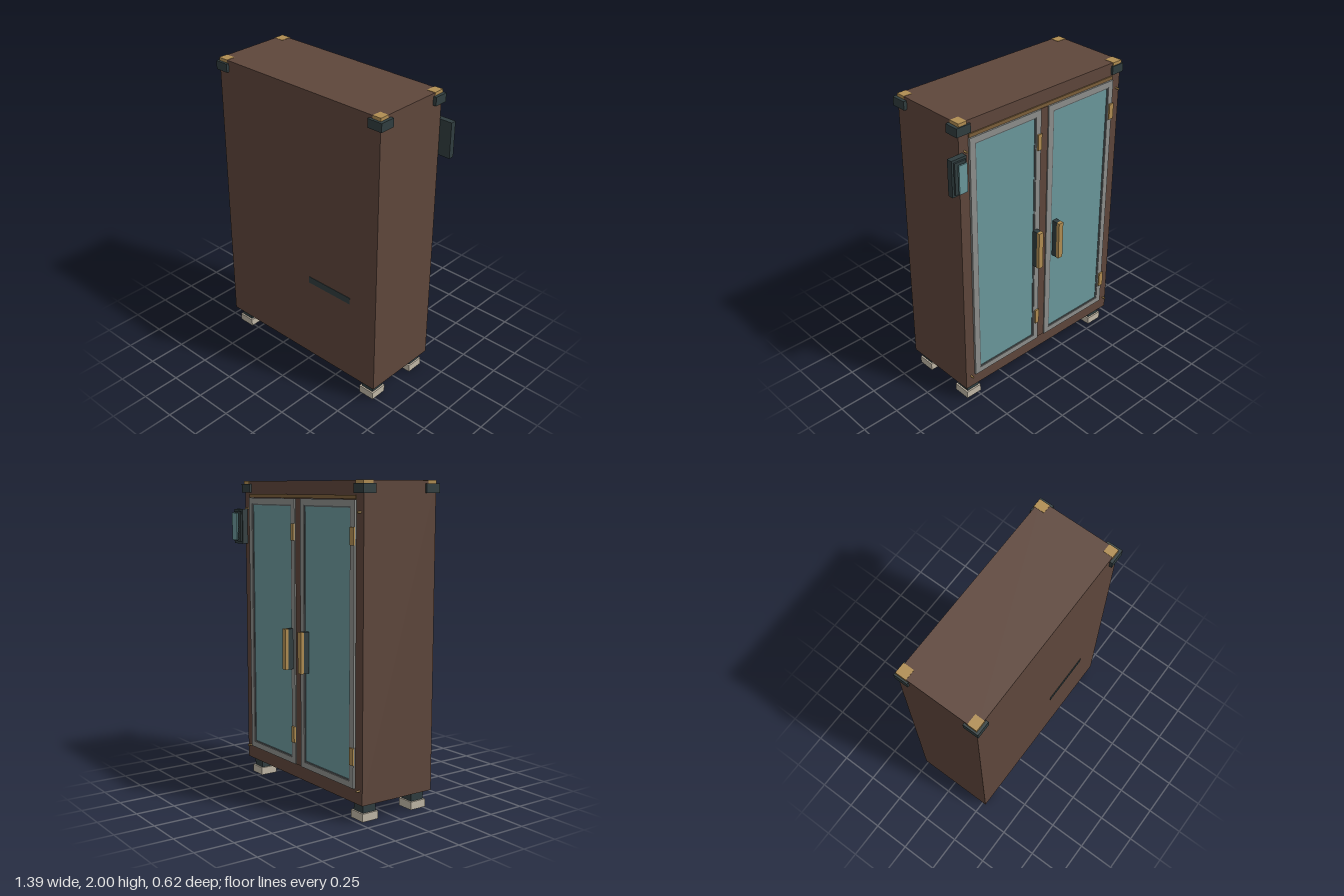
import * as THREE from 'three';

export function createModel() {
  const model = new THREE.Group();
  model.name = 'cabinet';

  const mat = (name, color) => {
    const m = new THREE.MeshStandardMaterial({ color });
    m.name = name;
    return m;
  };
  const wood = mat('brown wood', 0x5e463b);
  const dark = mat('dark iron', 0x303d3f);
  const brass = mat('brass', 0xb08d52);
  const glass = mat('teal glass', 0x6a979b);
  const steel = mat('grey steel', 0x8c8e8b);
  const slate = mat('slate', 0x5a6061);
  const stone = mat('pale stone', 0xc0b7a6);
  const bronze = mat('bronze trim', 0x7c5f3a);

  // Box given by its limits along each axis
  const box = (name, material, [x0, x1], [y0, y1], [z0, z1], parent = model) => {
    const mesh = new THREE.Mesh(new THREE.BoxGeometry(x1 - x0, y1 - y0, z1 - z0), material);
    mesh.position.set((x0 + x1) / 2, (y0 + y1) / 2, (z0 + z1) / 2);
    mesh.name = name;
    parent.add(mesh);
    return mesh;
  };
  const group = (name) => {
    const g = new THREE.Group();
    g.name = name;
    model.add(g);
    return g;
  };

  // Carcass, base plate and front slot
  box('body', wood, [-0.685, 0.614], [0.11, 1.998], [-0.243, 0.29]);
  box('basePlate', slate, [-0.65, 0.58], [0.095, 0.112], [-0.217, 0.264]);
  box('frontSlot', dark, [0.058, 0.405], [0.675, 0.72], [0.288, 0.293]);

  // Feet: iron leg on a stone pad
  for (const x of [-0.604, 0.534]) {
    for (const z of [0.21, -0.162]) {
      const foot = group('foot');
      box('footLeg', dark, [x - 0.046, x + 0.046], [0.05, 0.1], [z - 0.047, z + 0.047], foot);
      box('footPad', stone, [x - 0.057, x + 0.057], [0, 0.05], [z - 0.058, z + 0.058], foot);
    }
  }

  // Top corners: iron guard with a brass cap
  for (const [gx, bx] of [[[-0.698, -0.605], [-0.687, -0.617]], [[0.535, 0.636], [0.557, 0.616]]]) {
    for (const [gz, bz] of [[[0.207, 0.308], [0.23, 0.292]], [[-0.257, -0.165], [-0.25, -0.178]]]) {
      const corner = group('topCorner');
      box('cornerGuard', dark, gx, [1.925, 1.98], gz, corner);
      box('cornerCap', brass, bx, [1.98, 2], bz, corner);
    }
  }

  // Glazed doors on the back
  const rect = (P, x0, x1, y0, y1) => {
    const p = new P();
    p.moveTo(x0, y0);
    p.lineTo(x1, y0);
    p.lineTo(x1, y1);
    p.lineTo(x0, y1);
    p.closePath();
    return p;
  };
  const frame = (name, material, x0, x1, y0, y1, w, z0, depth, parent) => {
    const shape = rect(THREE.Shape, x0, x1, y0, y1);
    shape.holes.push(rect(THREE.Path, x0 + w, x1 - w, y0 + w, y1 - w));
    const mesh = new THREE.Mesh(
      new THREE.ExtrudeGeometry(shape, { depth, bevelEnabled: false }), material);
    mesh.position.z = z0;
    mesh.name = name;
    parent.add(mesh);
  };
  const doors = [
    { x: [0, 0.545], hinge: [0, 0.03], handle: [0.02, 0.055] },
    { x: [-0.615, -0.062], hinge: [-0.62, -0.585], handle: [-0.154, -0.118] },
  ];
  for (const d of doors) {
    const [x0, x1] = d.x;
    const door = group('door');
    frame('doorFrame', steel, x0, x1, 0.2, 1.89, 0.038, -0.257, 0.014, door);
    frame('doorBead', slate, x0 + 0.038, x1 - 0.038, 0.238, 1.852, 0.009, -0.253, 0.01, door);
    box('doorGlass', glass, [x0 + 0.04, x1 - 0.04], [0.24, 1.85], [-0.249, -0.243], door);
    for (const y of [0.395, 1.685]) {
      box('hinge', brass, d.hinge, [y - 0.052, y + 0.052], [-0.267, -0.255], door);
    }
    box('handleMount', dark, d.handle, [0.82, 1.08], [-0.293, -0.255], door);
    box('handleGrip', brass, d.handle, [0.82, 1.08], [-0.315, -0.293], door);
  }
  box('mullion', wood, [-0.062, 0], [0.2, 1.89], [-0.249, -0.243]);
  box('headTrim', bronze, [-0.615, 0.545], [1.893, 1.915], [-0.251, -0.243]);

  // Small studs beside the doors
  const studGeometry = new THREE.CylinderGeometry(0.006, 0.006, 0.026, 10).rotateX(Math.PI / 2);
  for (const x of [-0.658, 0.575]) {
    for (const y of [0.197, 1.82]) {
      const stud = new THREE.Mesh(studGeometry, brass);
      stud.position.set(x, y, -0.255);
      stud.name = 'stud';
      model.add(stud);
    }
  }

  // Control panel at the upper back corner
  const panel = group('controlPanel');
  box('panelBack', dark, [0.59, 0.697], [1.585, 1.815], [-0.28, -0.243], panel);
  box('panelBezel', dark, [0.602, 0.684], [1.6, 1.8], [-0.291, -0.28], panel);
  box('panelScreen', glass, [0.613, 0.672], [1.61, 1.79], [-0.314, -0.304], panel);
  for (const y of [1.62, 1.66, 1.695]) {
    box('screenSpacer', dark, [0.625, 0.66], [y - 0.005, y + 0.005], [-0.304, -0.291], panel);
  }

  return model;
}
